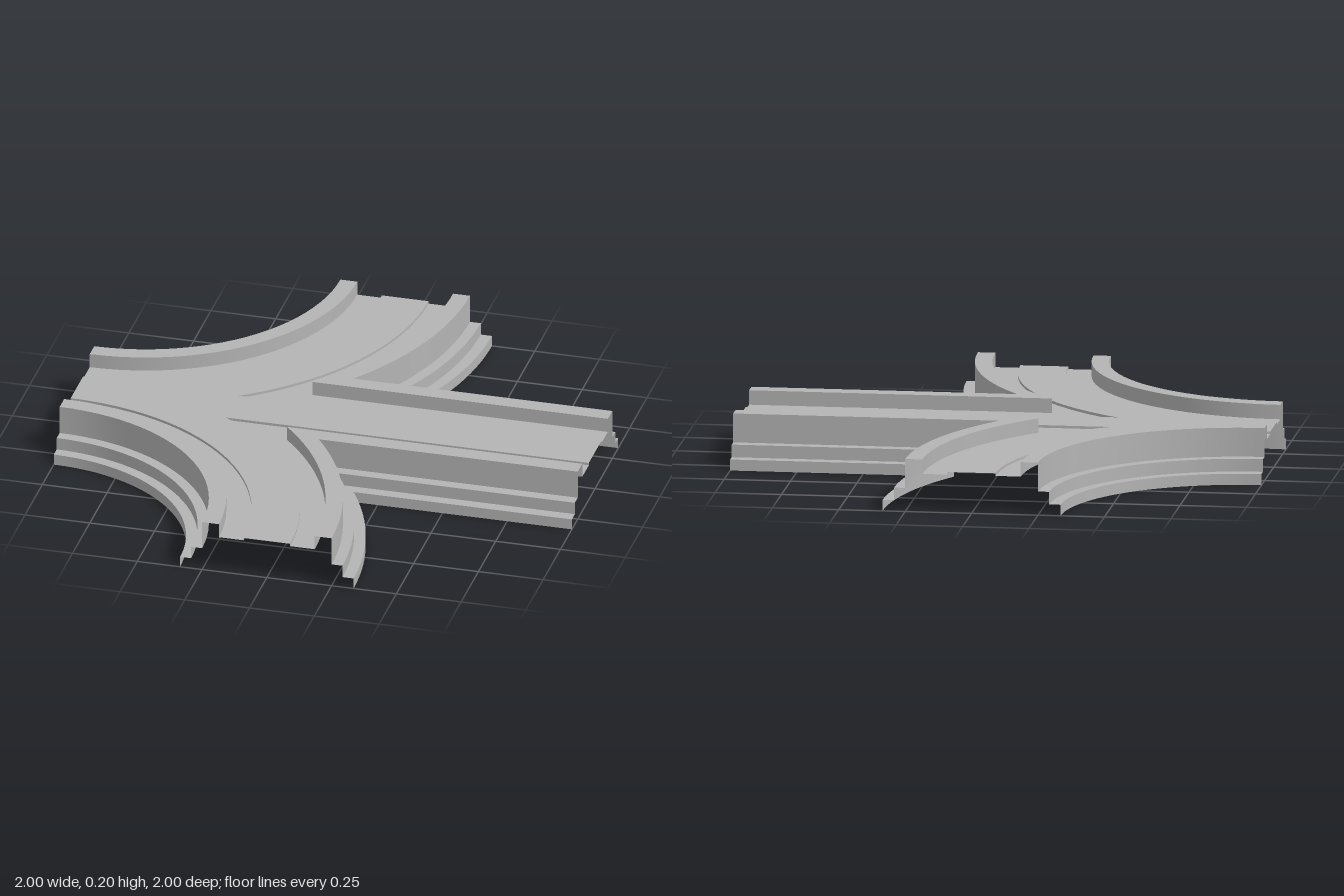
import * as THREE from 'three';

const SEGMENTS = 24;
const ROAD_EDGE = 0.09;
const ROAD_HEIGHT = 0.155;

// Cross-section from the outer foot to the road edge: [distance from lane centre, height]
const PROFILE = [
  [0.335, 0], [0.335, 0.042], [0.292, 0.042], [0.292, 0.09], [0.25, 0.09],
  [0.25, 0.2], [0.185, 0.2], [0.185, 0.145], [ROAD_EDGE, 0.145], [ROAD_EDGE, ROAD_HEIGHT],
];

// Points on an arc about the tile corner (-1, side)
function arc(radius, from, to, side) {
  return Array.from({ length: SEGMENTS + 1 }, (_, i) => {
    const a = from + (to - from) * i / SEGMENTS;
    return [-1 + radius * Math.sin(a), side * (1 - radius * Math.cos(a))];
  });
}

// Edge paths at distance u from the lane centre
const innerBend = (u, side) => arc(1 - u, 0, Math.PI / 2, side);
const outerBend = (u, side) => arc(1 + u, Math.PI / 2, Math.acos((1 - u) / (1 + u)), side);
const straight = (u, side) => [[-1 + 2 * Math.sqrt(u), side * u], [1, side * u]];

// Sweep the cross-section along a path; each strip keeps its own vertices for sharp edges
function sweep(path, side) {
  const positions = [], indices = [];
  for (let p = 0; p < PROFILE.length - 1; p++) {
    const base = positions.length / 3;
    const [u0, y0] = PROFILE[p], [u1, y1] = PROFILE[p + 1];
    const a = path(u0, side), b = path(u1, side);
    a.forEach(([x, z], i) => positions.push(x, y0, z, b[i][0], y1, b[i][1]));
    for (let i = 0; i < a.length - 1; i++) {
      const k = base + i * 2;
      if (side > 0) indices.push(k, k + 2, k + 1, k + 1, k + 2, k + 3);
      else indices.push(k, k + 1, k + 2, k + 1, k + 3, k + 2);
    }
  }
  const geometry = new THREE.BufferGeometry();
  geometry.setAttribute('position', new THREE.Float32BufferAttribute(positions, 3));
  geometry.setIndex(indices);
  geometry.computeVertexNormals();
  return geometry;
}

export function createModel() {
  const group = new THREE.Group();
  group.name = 'roadJunction';
  const concrete = new THREE.MeshStandardMaterial({ color: 0xb4b4b4, side: THREE.DoubleSide });
  concrete.name = 'concrete grey';

  const add = (name, geometry) => {
    const mesh = new THREE.Mesh(geometry, concrete);
    mesh.name = name;
    group.add(mesh);
  };

  // Stepped walls with gutters, mirrored front and back
  for (const [label, side] of [['front', 1], ['back', -1]]) {
    add(label + 'InnerBendWall', sweep(innerBend, side));
    add(label + 'OuterBendWall', sweep(outerBend, side));
    add(label + 'StraightWall', sweep(straight, side));
  }

  // Flat road surface filling the space between the gutters
  const half = side => [innerBend, outerBend, straight].flatMap(path => {
    const points = path(ROAD_EDGE, side);
    return path === straight ? points.slice(1) : points;
  });
  const outline = [...half(1), ...half(-1).reverse()].map(([x, z]) => new THREE.Vector2(x, -z));
  const road = new THREE.ShapeGeometry(new THREE.Shape(outline));
  road.rotateX(-Math.PI / 2).translate(0, ROAD_HEIGHT, 0);
  add('roadSurface', road);

  return group;
}
